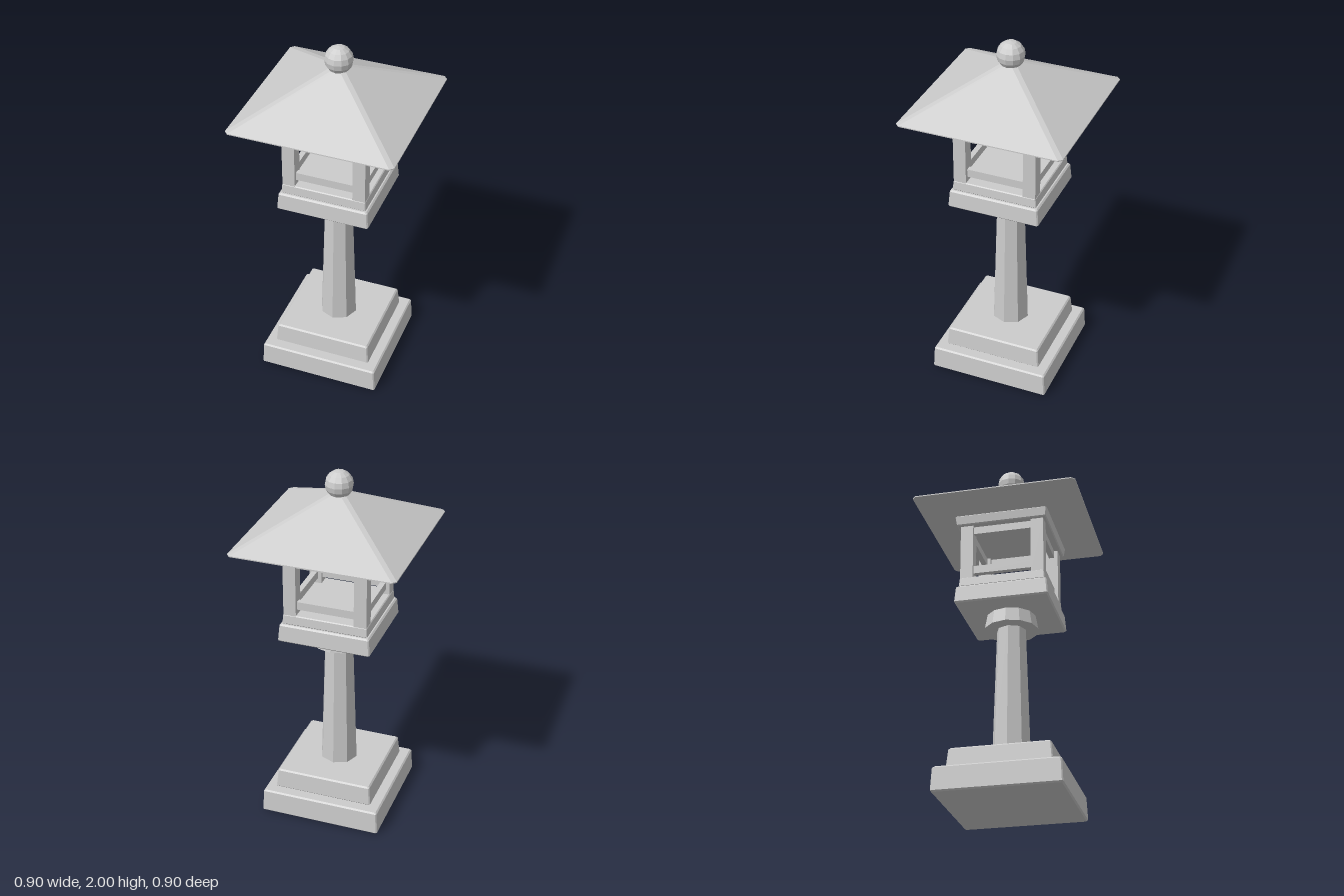
import * as THREE from 'three';

const stone = new THREE.MeshStandardMaterial({ color: 0xcccccc, flatShading: true });

// Closed solid through square sections [halfWidth, y], listed bottom to top, with cut corners
function loftSquare(sections, cut) {
  const pos = [];
  const rings = sections.map(([h, y]) => {
    const k = h - cut;
    return [[h, k], [k, h], [-k, h], [-h, k], [-h, -k], [-k, -h], [k, -h], [h, -k]]
      .map(([x, z]) => [x, y, z]);
  });
  const tri = (a, b, c) => pos.push(...a, ...b, ...c);
  for (let r = 0; r < rings.length - 1; r++) {
    for (let i = 0; i < 8; i++) {
      const j = (i + 1) % 8, lo = rings[r], hi = rings[r + 1];
      tri(lo[i], hi[i], lo[j]);
      tri(lo[j], hi[i], hi[j]);
    }
  }
  const bottom = rings[0], top = rings[rings.length - 1];
  for (let i = 1; i < 7; i++) {
    tri(bottom[0], bottom[i], bottom[i + 1]);
    tri(top[0], top[i + 1], top[i]);
  }
  const geo = new THREE.BufferGeometry();
  geo.setAttribute('position', new THREE.Float32BufferAttribute(pos, 3));
  geo.computeVertexNormals();
  return geo;
}

// Slightly tapered slab with small bevels
function slab(h0, h1, y0, y1, b = 0.008) {
  return loftSquare([[h0 - b, y0], [h0, y0 + b], [h1, y1 - b], [h1 - b, y1]], b * 0.8);
}

export function createModel() {
  const lantern = new THREE.Group();
  lantern.name = 'stoneLantern';
  const add = (name, geo, x = 0, y = 0, z = 0, parent = lantern) => {
    const mesh = new THREE.Mesh(geo, stone);
    mesh.name = name;
    mesh.position.set(x, y, z);
    parent.add(mesh);
    return mesh;
  };

  // Stepped base
  add('lowerBase', slab(0.34, 0.334, 0, 0.137));
  add('upperBase', slab(0.278, 0.269, 0.137, 0.252));

  // Pillar and flared collar
  add('pillar', new THREE.CylinderGeometry(0.08, 0.105, 0.78, 8), 0, 0.63, 0);
  add('collar', new THREE.CylinderGeometry(0.135, 0.15, 0.08, 12), 0, 1.04, 0);

  // Lamp house floor and top plate
  add('platform', slab(0.257, 0.25, 1.08, 1.182));
  add('houseFloor', slab(0.237, 0.233, 1.182, 1.238, 0.005));
  add('topPlate', slab(0.25, 0.257, 1.553, 1.61, 0.006));

  // Corner posts
  for (const sx of [-1, 1]) {
    for (const sz of [-1, 1]) {
      add('cornerPost', new THREE.BoxGeometry(0.07, 0.33, 0.07), sx * 0.196, 1.396, sz * 0.196);
    }
  }

  // Window rails on all four sides
  for (let i = 0; i < 4; i++) {
    const side = new THREE.Group();
    side.name = 'windowSide';
    side.rotation.y = i * Math.PI / 2;
    lantern.add(side);
    add('lowerRail', new THREE.BoxGeometry(0.34, 0.045, 0.03), 0, 1.29, 0.196, side);
    add('upperRail', new THREE.BoxGeometry(0.34, 0.045, 0.03), 0, 1.533, 0.196, side);
  }

  // Pyramid roof with narrow hip ridges, and the ball on top
  add('roof', loftSquare([[0.45, 1.645], [0.45, 1.651], [0.03, 1.882]], 0.02));
  add('finial', new THREE.SphereGeometry(0.076, 12, 8), 0, 1.924, 0);

  return lantern;
}
